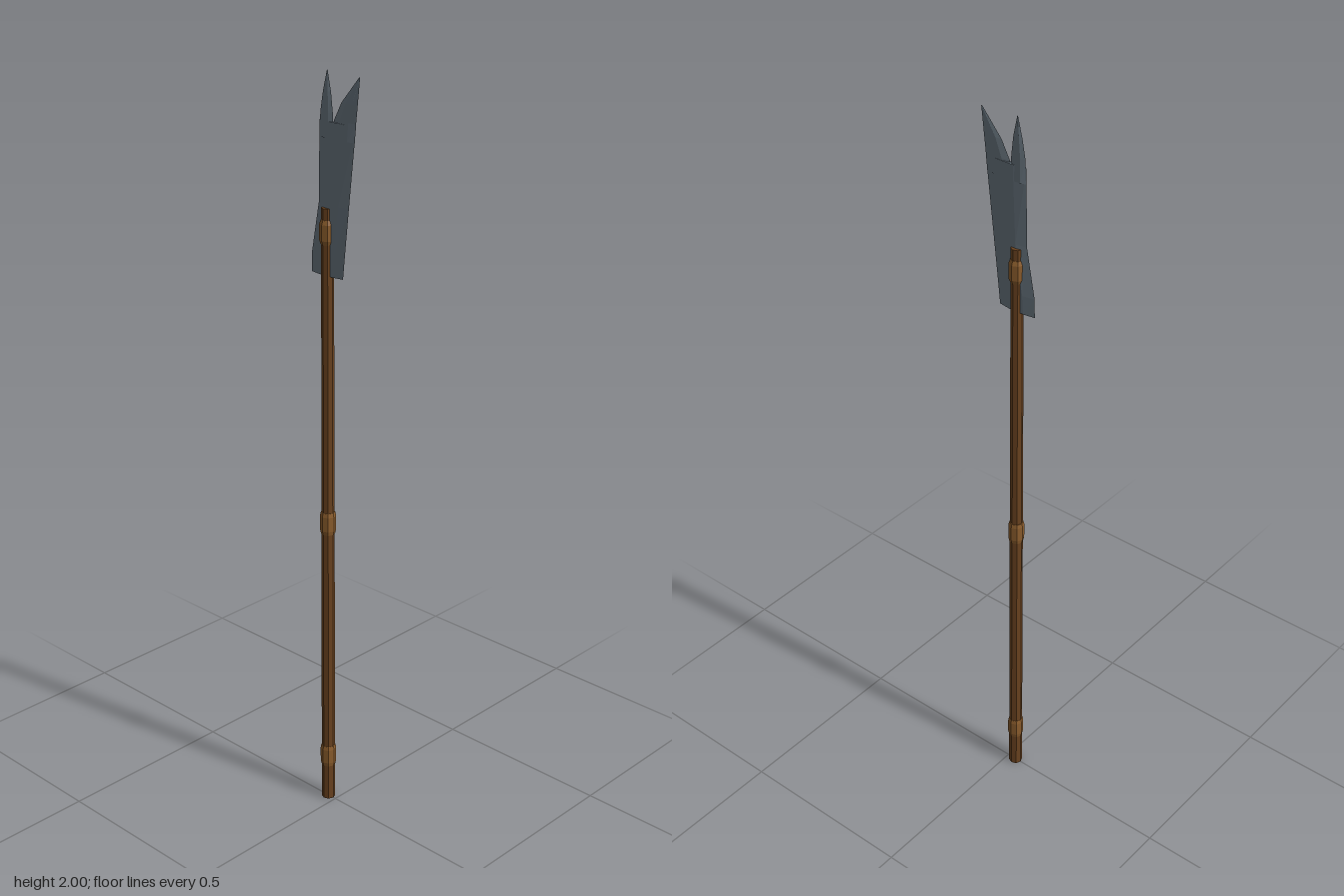
import * as THREE from 'three';

const AXIS = -0.026; // x of the shaft

// Closed flat-sided plate with bevelled edges; rows are [y, left, right, halfThickness]
function plate(rows) {
  const rings = rows.map(([y, l, r, t]) => {
    const a = l + (r - l) * 0.3, b = l + (r - l) * 0.7;
    return [[l, y, 0], [a, y, t], [b, y, t], [r, y, 0], [b, y, -t], [a, y, -t]];
  });
  const pos = [];
  const tri = (...p) => p.forEach((v) => pos.push(...v));
  for (let i = 0; i < rings.length - 1; i++) {
    const lo = rings[i], hi = rings[i + 1];
    for (let j = 0; j < 6; j++) {
      const k = (j + 1) % 6;
      tri(lo[j], lo[k], hi[k]);
      tri(lo[j], hi[k], hi[j]);
    }
  }
  // End caps
  const first = rings[0], last = rings[rings.length - 1];
  for (let j = 1; j < 5; j++) {
    tri(first[0], first[j + 1], first[j]);
    tri(last[0], last[j], last[j + 1]);
  }
  const g = new THREE.BufferGeometry();
  g.setAttribute('position', new THREE.Float32BufferAttribute(pos, 3));
  g.computeVertexNormals();
  return g;
}

export function createModel() {
  const group = new THREE.Group();
  const material = (name, color) => {
    const m = new THREE.MeshStandardMaterial({ color, flatShading: true });
    m.name = name;
    return m;
  };
  const wood = material('darkWood', 0x69421f);
  const leather = material('leather', 0x8a5c2c);
  const steel = material('steel', 0x6a7781);

  const add = (name, geometry, mat, x = 0, y = 0) => {
    const m = new THREE.Mesh(geometry, mat);
    m.name = name;
    m.position.set(x, y, 0);
    group.add(m);
  };

  // Tapered eight-sided shaft
  add('shaft', new THREE.CylinderGeometry(0.0155, 0.0185, 1.67, 8), wood, AXIS, 0.835);

  // Barrel-shaped bindings: centre height, end radius, middle radius
  [[0.135, 0.019, 0.0212], [0.835, 0.0185, 0.0208], [1.61, 0.0165, 0.0205]].forEach(([y, end, mid], i) => {
    const profile = [[0, -0.031], [end, -0.031], [mid, -0.02], [mid, 0.02], [end, 0.031], [0, 0.031]];
    add(`binding${i + 1}`, new THREE.LatheGeometry(profile.map((p) => new THREE.Vector2(...p)), 8), leather, AXIS, y);
  });

  // Blade body, then the two prongs above the notch
  add('bladeBody', plate([
    [1.5, -0.08, 0.026, 0.005],
    [1.55, -0.079, 0.031, 0.006],
    [1.68, -0.055, 0.045, 0.006],
    [1.88, -0.052, 0.067, 0.005],
  ]), steel);
  add('straightProng', plate([
    [1.84, -0.052, -0.006, 0.005],
    [1.9, -0.049, -0.008, 0.004],
    [1.95, -0.04, -0.014, 0.003],
    [2.0, -0.027, -0.025, 0.0005],
  ]), steel);
  add('slantedProng', plate([
    [1.84, -0.006, 0.063, 0.005],
    [1.885, -0.004, 0.067, 0.004],
    [1.93, 0.02, 0.072, 0.003],
    [1.995, 0.076, 0.079, 0.0005],
  ]), steel);
  return group;
}
